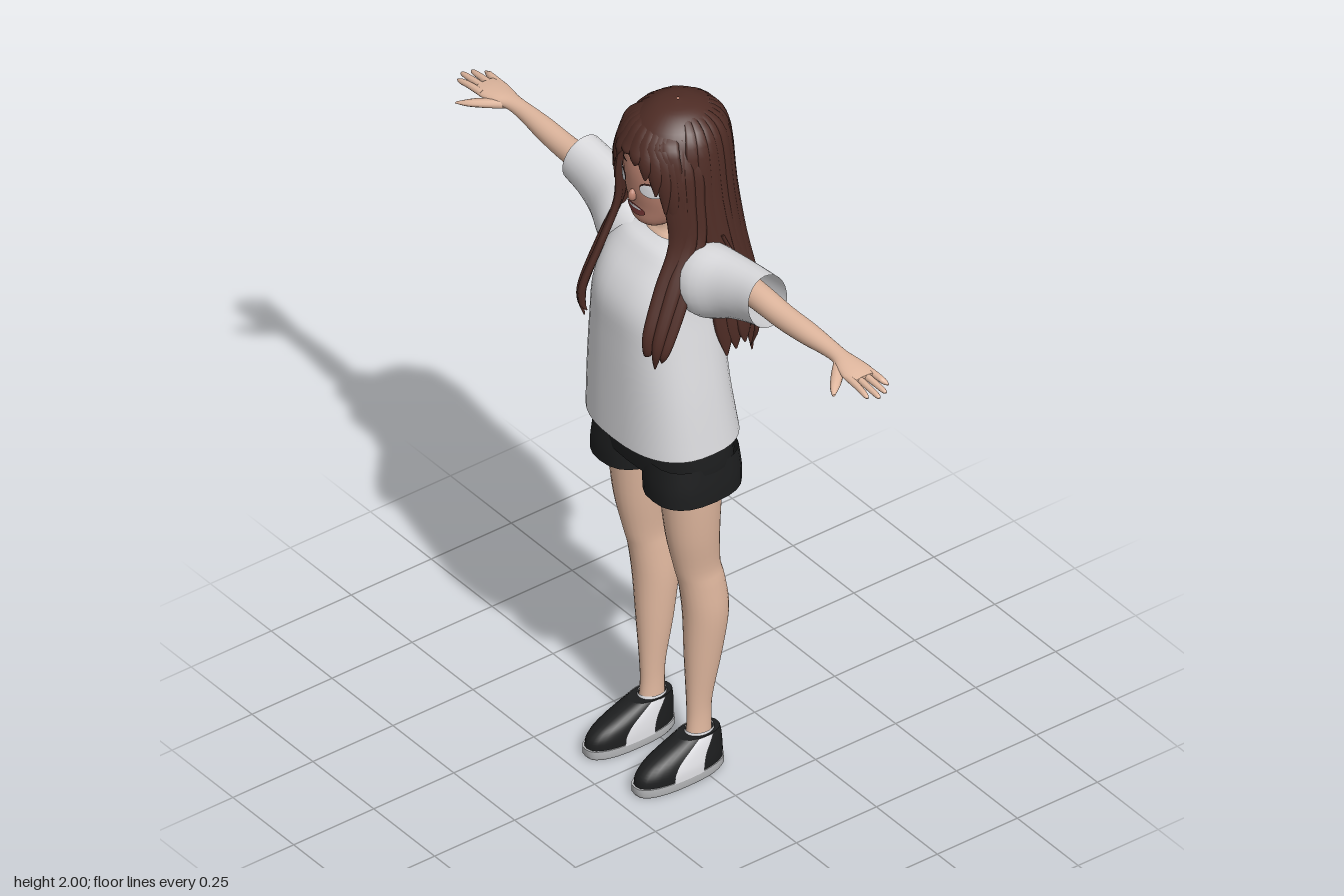
import * as THREE from 'three';

const mat = (name, color, side = THREE.FrontSide) =>
  Object.assign(new THREE.MeshStandardMaterial({ color, side }), { name });

// Catmull-Rom smoothing of every number in a list of sections
function smooth(sections, k = 4) {
  if (k <= 1) return sections;
  const out = [], last = sections.length - 1;
  for (let i = 0; i < last; i++) {
    const [p, q, r, s] = [i - 1, i, i + 1, i + 2].map(j => sections[Math.min(last, Math.max(0, j))]);
    for (let j = 0; j < k; j++) {
      const t = j / k;
      out.push(q.map((b, c) => b + 0.5 * t * (r[c] - p[c] +
        t * (2 * p[c] - 5 * b + 4 * r[c] - s[c] + t * (3 * (b - r[c]) + s[c] - p[c])))));
    }
  }
  out.push(sections[last]);
  return out;
}

// Linear lookup of a section at height y
function sectionAt(list, y) {
  const s = list[0][1] > list[list.length - 1][1] ? [...list].reverse() : list;
  let i = 0;
  while (i < s.length - 2 && s[i + 1][1] < y) i++;
  const t = THREE.MathUtils.clamp((y - s[i][1]) / (s[i + 1][1] - s[i][1]), 0, 1);
  return s[i].map((v, c) => v + (s[i + 1][c] - v) * t);
}

// Skin over superellipse sections [x, y, z, radiusU, radiusV]; sections run along U x V
const UP = [[0, 0, 1], [1, 0, 0]], OUT = [[0, 1, 0], [0, 0, 1]];
const down = (yaw = 0) => [[Math.cos(yaw), 0, Math.sin(yaw)], [-Math.sin(yaw), 0, Math.cos(yaw)]];
function loft(sections, frame, { n = 24, p = 2, arc = null, caps = true, k = 4 } = {}) {
  const rows = smooth(sections, k), [U, V] = frame, pos = [], idx = [];
  const [t0, t1] = arc || [0, Math.PI * 2], cols = arc ? n + 1 : n;
  const sp = v => Math.sign(v) * Math.abs(v) ** (2 / p);
  const ring = s => {
    for (let j = 0; j < cols; j++) {
      const t = t0 + (t1 - t0) * j / n, a = s[3] * sp(Math.cos(t)), b = s[4] * sp(Math.sin(t));
      for (let c = 0; c < 3; c++) pos.push(s[c] + U[c] * a + V[c] * b);
    }
  };
  rows.forEach(ring);
  for (let i = 0; i < rows.length - 1; i++) for (let j = 0; j < n; j++) {
    const a = i * cols + j, b = i * cols + (j + 1) % cols;
    idx.push(a, b, a + cols, b, b + cols, a + cols);
  }
  if (caps && !arc) [rows[0], rows[rows.length - 1]].forEach((s, e) => {
    const base = pos.length / 3;
    ring(s);
    pos.push(s[0], s[1], s[2]);
    for (let j = 0; j < n; j++) {
      const a = base + j, b = base + (j + 1) % n;
      e ? idx.push(a, b, base + n) : idx.push(b, a, base + n);
    }
  });
  const g = new THREE.BufferGeometry();
  g.setAttribute('position', new THREE.Float32BufferAttribute(pos, 3));
  g.setIndex(idx);
  g.computeVertexNormals();
  return g;
}

function mirrored(geo) {
  const g = geo.clone().scale(-1, 1, 1), a = g.index.array;
  for (let i = 0; i < a.length; i += 3) [a[i], a[i + 1]] = [a[i + 1], a[i]];
  g.computeVertexNormals();
  return g;
}

export function createModel() {
  const root = new THREE.Group();
  root.name = 'girl';
  const skin = mat('skin', 0xe2b9a0), faceSkin = mat('face skin', 0xbd8472);
  const hair = mat('hair', 0x4e2c25, THREE.DoubleSide), cloth = mat('shirt cloth', 0xdedee1, THREE.DoubleSide);
  const black = mat('black cloth', 0x1d1e1f, THREE.DoubleSide), white = mat('white', 0xe6e6ea, THREE.DoubleSide);
  const sole = mat('sole grey', 0xb9babc), dark = mat('lash brown', 0x38201d), lip = mat('mouth red', 0x7d3a38);

  const add = (name, geo, m) => {
    const mesh = new THREE.Mesh(geo, m);
    mesh.name = name;
    root.add(mesh);
  };
  const pair = (name, geo, m) => {
    add(name + 'Left', geo, m);
    add(name + 'Right', mirrored(geo), m);
  };

  // Head and neck
  const head = smooth([[0, 1.662, .075, .025, .018], [0, 1.685, .06, .06, .058], [0, 1.73, .033, .095, .09],
    [0, 1.78, .017, .113, .113], [0, 1.84, .002, .12, .128], [0, 1.9, -.008, .112, .12],
    [0, 1.95, -.01, .085, .09], [0, 1.98, -.01, .03, .03]]);
  add('head', loft(head.map(([x, y, z, a, b]) => [x, y, z, b, a]), UP, { n: 32, k: 1 }), faceSkin);
  add('neck', loft([[0, 1.56, .005, .07, .12], [0, 1.61, .005, .058, .085], [0, 1.64, .005, .043, .045],
    [0, 1.72, .01, .043, .042]], UP), skin);
  add('nose', new THREE.SphereGeometry(1, 10, 8).scale(.01, .018, .014).translate(0, 1.765, .131), faceSkin);

  // Painted face patches laid on the head surface
  const patch = (cx, cy, rx, ry, lift, roll = 0) => {
    const g = new THREE.RingGeometry(.001, 1, 24, 4).scale(rx, ry, 1).rotateZ(roll).translate(cx, cy, 0);
    const v = g.attributes.position;
    for (let i = 0; i < v.count; i++) {
      const s = sectionAt(head, v.getY(i));
      v.setZ(i, s[2] + s[4] * Math.sqrt(Math.max(0, 1 - (v.getX(i) / s[3]) ** 2)) + lift);
    }
    g.computeVertexNormals();
    return g;
  };
  pair('eyeOutline', patch(.058, 1.803, .031, .021, .003), dark);
  pair('eyeWhite', patch(.058, 1.8, .029, .019, .005), white);
  pair('eyebrow', patch(.058, 1.845, .03, .003, .003, -.15), dark);
  add('mouth', patch(0, 1.722, .036, .016, .004), lip);
  add('teeth', patch(0, 1.73, .026, .005, .006), white);

  // Hair cap and back curtain
  const cap = smooth([[0, 2, -.01, .004, .004], [0, 1.99, -.01, .056, .058], [0, 1.96, -.01, .099, .105],
    [0, 1.92, -.008, .122, .131], [0, 1.88, -.005, .132, .139]]);
  add('hairCap', loft(cap, down(), { n: 36, caps: false, k: 1 }), hair);
  const fall = smooth([[0, 1.992, -.01, .048, .05], [0, 1.96, -.01, .1, .106], [0, 1.88, -.006, .133, .14],
    [0, 1.78, -.008, .139, .144], [0, 1.66, -.02, .148, .143], [0, 1.55, -.04, .162, .14],
    [0, 1.45, -.058, .18, .133], [0, 1.3, -.065, .19, .125]]);
  const deg = Math.PI / 180;
  add('hairCurtain', loft(fall.filter(s => s[1] > 1.39), down(), { n: 36, arc: [158 * deg, 382 * deg], k: 1 }), hair);

  // Strands over the back, each ending in a point
  const heights = [1.988, 1.96, 1.9, 1.75, 1.6, 1.47, 1.38];
  for (let i = 0; i < 19; i++) {
    const t = (162 + i * 12) * deg, tip = 1.3 + .022 * Math.sin(i * 2.4) + .02 * Math.abs(i - 9) / 9;
    const path = [...heights, tip].map((y, j) => {
      const s = sectionAt(fall, y), f = 1.0 + .012 * Math.sin(i * 1.9 + j * .5);
      const w = [.006, .013, .019, .022, .025, .027, .024, .003][j];
      return [s[3] * f * Math.cos(t), y, s[2] + s[4] * f * Math.sin(t), w, w * .3];
    });
    add('backStrand' + (i + 1), loft(path, down(Math.atan2(-Math.cos(t), Math.sin(t))), { n: 8, k: 3 }), hair);
  }
  // Loose wisps beside the back
  pair('sideWisp', loft([[.15, 1.66, -.03, .012, .006], [.17, 1.53, -.08, .012, .007], [.2, 1.43, -.095, .011, .007],
    [.218, 1.38, -.09, .008, .005], [.2, 1.32, -.085, .001, .001]], down(), { n: 8 }), hair);

  // Fringe swept from an off-centre parting
  const tips = [[-.124, 1.65, .075], [-.114, 1.74, .1], [-.1, 1.79, .115], [-.078, 1.825, .13], [-.05, 1.865, .141],
    [-.015, 1.89, .144], [.025, 1.875, .144], [.058, 1.845, .137], [.085, 1.805, .124], [.104, 1.755, .108],
    [.117, 1.7, .09], [.126, 1.65, .072]];
  tips.forEach(([x, y, z], i) => {
    const mx = -.025 + (x + .025) * .8, mz = -.006 + .136 * Math.sqrt(1 - (mx / .13) ** 2);
    const path = [[-.02 + x * .15, 1.985, .03, .01, .008], [mx * .7 - .008, 1.955, mz * .72, .02, .011],
      [mx, 1.915, mz, .024, .009], [x * .96, (1.91 + y) / 2, z * .65 + mz * .35 + .002, .02, .008], [x, y, z, .003, .002]];
    add('fringeStrand' + (i + 1), loft(path, down(Math.atan2(-mx, mz)), { n: 8 }), hair);
  });

  // Long locks resting on the chest
  for (const [i, dx, dz, end] of [[1, 0, 0, 1.33], [2, -.022, .018, 1.36], [3, .012, -.025, 1.35]]) {
    pair('frontLock' + i, loft([[.085, 1.95, .045, .012, .008], [.114 + dx * .3, 1.87, .06 + dz, .026, .011],
      [.123 + dx * .3, 1.77, .064 + dz, .03, .011], [.135 + dx * .5, 1.66, .065 + dz, .025, .011],
      [.148 + dx, 1.55, .115 + dz, .021, .011], [.157 + dx, 1.44, .163 + dz, .017, .011],
      [.157 + dx, 1.38, .176 + dz * .6, .012, .009], [.145 + dx, end, .172 + dz * .5, .002, .002]],
      down(-.9), { n: 10 }), hair);
  }

  // Shirt, with the neckline dipping at the front
  const shirt = loft([[0, 1.045, .038, .158, .21], [0, 1.2, .05, .147, .196], [0, 1.35, .055, .143, .178],
    [0, 1.45, .055, .141, .166], [0, 1.52, .042, .126, .162], [0, 1.58, .02, .1, .155],
    [0, 1.625, .008, .072, .122], [0, 1.645, .008, .057, .078]], UP, { n: 40, p: 2.5, caps: false });
  const sv = shirt.attributes.position;
  for (let i = 0; i < sv.count; i++) {
    const rise = Math.max(0, sv.getY(i) - 1.6);
    sv.setY(i, sv.getY(i) - rise * .55 * THREE.MathUtils.clamp(sv.getZ(i) / .065, 0, 1));
  }
  shirt.computeVertexNormals();
  add('shirtBody', shirt, cloth);
  pair('sleeve', loft([[.09, 1.545, .02, .088, .08], [.17, 1.553, .02, .1, .086], [.25, 1.573, .006, .086, .07],
    [.32, 1.588, 0, .077, .062], [.382, 1.6, 0, .071, .06]], [[-.17, 1, 0], [0, 0, 1]], { caps: false }), cloth);

  // Arms and hands
  pair('arm', loft([[.15, 1.595, 0, .04, .04], [.35, 1.595, 0, .035, .035], [.45, 1.59, -.002, .033, .032],
    [.54, 1.591, -.006, .029, .03], [.62, 1.594, -.008, .022, .024], [.67, 1.596, -.006, .018, .024],
    [.71, 1.595, -.002, .017, .035], [.75, 1.594, -.001, .014, .041], [.78, 1.593, 0, .01, .038]], OUT), skin);
  [[-.032, .828], [-.011, .852], [.011, .86], [.031, .843]].forEach(([z, end], i) =>
    pair('finger' + (i + 1), loft([[.75, 1.594, z * .95, .01, .01], [.8, 1.592, z * 1.05, .009, .009],
      [end - .012, 1.588, z * 1.15, .007, .007], [end, 1.587, z * 1.18, .002, .002]], OUT, { n: 10 }), skin));
  pair('thumb', loft([[.68, 1.592, .008, .012, .014], [.715, 1.588, .036, .012, .021], [.748, 1.584, .066, .01, .018],
    [.775, 1.58, .092, .003, .005]], OUT, { n: 10 }), skin);

  // Shorts
  add('shortsHips', loft([[0, .955, .027, .122, .2], [0, 1, .027, .126, .203], [0, 1.07, .03, .125, .198]],
    UP, { n: 36, p: 2.5 }), black);
  pair('shortsLeg', loft([[.108, .892, .027, .125, .099], [.106, .94, .027, .126, .1], [.1, 1, .027, .12, .1]],
    UP, { p: 2.5, caps: false }), black);

  // Legs, from ankle to thigh
  pair('leg', loft([[.097, .07, 0, .038, .028], [.096, .15, -.003, .034, .026], [.096, .22, -.004, .036, .029],
    [.099, .35, -.013, .051, .043], [.103, .48, -.018, .062, .053], [.104, .58, -.005, .063, .05],
    [.104, .64, .01, .064, .048], [.106, .75, .025, .073, .062], [.106, .88, .03, .081, .075],
    [.105, .99, .03, .085, .08]], UP), skin);

  // Shoes
  pair('shoeSole', loft([[.101, 0, .067, .13, .047], [.101, .008, .067, .136, .051], [.101, .028, .067, .136, .051]],
    UP, { n: 28, p: 2.4, k: 1 }), sole);
  const upper = [[.101, .026, .066, .132, .049], [.101, .05, .063, .129, .049], [.1, .075, .05, .115, .046],
    [.099, .1, .024, .087, .041], [.098, .118, .003, .062, .036]];
  pair('shoeUpper', loft(upper, UP, { n: 28, p: 2.3 }), black);
  const shell = upper.map(([x, y, z, a, b]) => [x, y, z, a + .003, b + .003]);
  pair('shoeOuterPanel', loft(shell, UP, { n: 8, p: 2.3, arc: [72 * deg, 106 * deg] }), white);
  pair('shoeInnerPanel', loft(shell, UP, { n: 8, p: 2.3, arc: [254 * deg, 288 * deg] }), white);
  pair('sock', loft([[.097, .1, -.002, .043, .033], [.097, .126, -.003, .039, .031]], UP, { caps: false, k: 1 }), white);
  return root;
}
